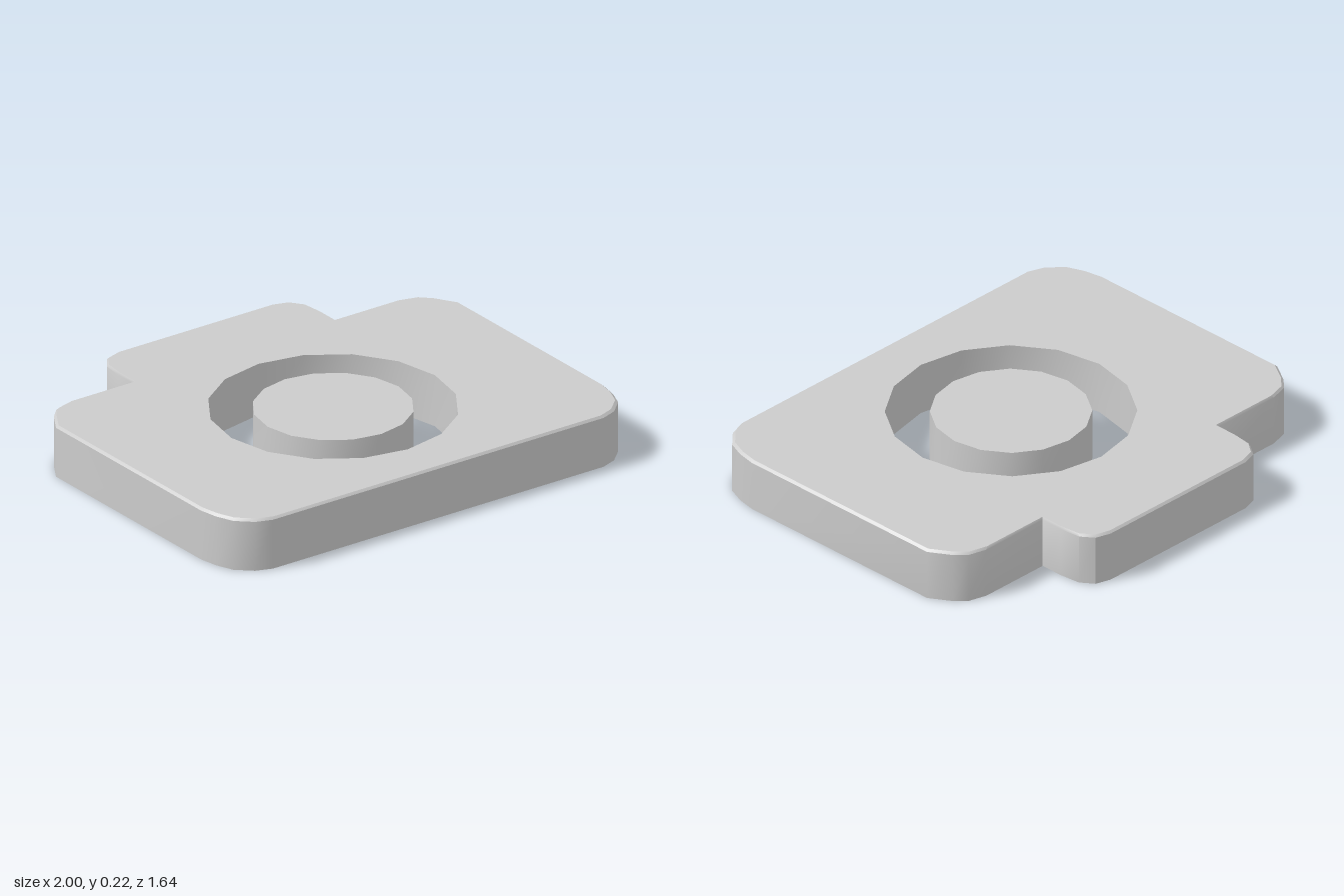
import * as THREE from 'three';
import { toCreasedNormals } from 'three/addons/utils/BufferGeometryUtils.js';

const HEIGHT = 0.225;
const BEVEL = 0.01;
const LENS_Z = 0.11;

const material = new THREE.MeshStandardMaterial({ color: 0xcccccc, side: THREE.DoubleSide });

// Right half of the body outline as (x, -z), from the front edge round to the back tab
const half = [
  [0.82, -0.82], [0.89, -0.795], [0.955, -0.735], [0.985, -0.66], [1, -0.58],
  [1, 0.4], [0.945, 0.49], [0.9, 0.535], [0.82, 0.557],
  [0.5, 0.557], [0.5, 0.66], [0.49, 0.75], [0.45, 0.805], [0.385, 0.825],
].map(([x, y]) => new THREE.Vector2(x, y));

const mirrored = half.map((p) => new THREE.Vector2(-p.x, p.y)).reverse();
const outline = [...half, ...mirrored];

// 16-sided ring around the lens centre
function ring(radius) {
  return Array.from({ length: 16 }, (_, i) => {
    const a = (i / 16) * Math.PI * 2;
    return new THREE.Vector2(radius * Math.cos(a), radius * Math.sin(a) - LENS_Z);
  });
}

const inset = (points, d) => points.map((p) => new THREE.Vector2(p.x * (1 - d), p.y * (1 - d)));

// Closed band of quads between outlines stacked at the given heights
function wall(levels) {
  const pos = [];
  for (let l = 0; l < levels.length - 1; l++) {
    const [lo, hi] = [levels[l], levels[l + 1]];
    const n = lo.points.length;
    for (let i = 0; i < n; i++) {
      const j = (i + 1) % n;
      const at = (level, k) => [level.points[k].x, level.y, -level.points[k].y];
      const a = at(lo, i), b = at(lo, j), c = at(hi, j), d = at(hi, i);
      pos.push(...a, ...b, ...c, ...a, ...c, ...d);
    }
  }
  const geometry = new THREE.BufferGeometry();
  geometry.setAttribute('position', new THREE.Float32BufferAttribute(pos, 3));
  return toCreasedNormals(geometry, 0.6);
}

// Flat top face, optionally with a hole
function cap(points, hole) {
  const shape = new THREE.Shape(points);
  if (hole) shape.holes.push(new THREE.Path(hole));
  return new THREE.ShapeGeometry(shape).rotateX(-Math.PI / 2).translate(0, HEIGHT, 0);
}

export function createModel() {
  const model = new THREE.Group();
  model.name = 'cameraIcon';
  const add = (name, geometry) => {
    const mesh = new THREE.Mesh(geometry, material);
    mesh.name = name;
    model.add(mesh);
  };

  // Body shell, open underneath, with a small bevel on its top rim
  const top = inset(outline, BEVEL);
  const opening = ring(0.505).reverse();
  add('bodyTop', cap(top, opening));
  add('bodyWall', wall([
    { points: outline, y: 0 },
    { points: outline, y: HEIGHT - BEVEL },
    { points: top, y: HEIGHT },
  ]));
  add('openingWall', wall([{ points: opening, y: 0 }, { points: opening, y: HEIGHT }]));

  // Lens disc, also open underneath
  const lens = ring(0.325);
  add('lensTop', cap(lens));
  add('lensWall', wall([{ points: lens, y: 0 }, { points: lens, y: HEIGHT }]));

  return model;
}
